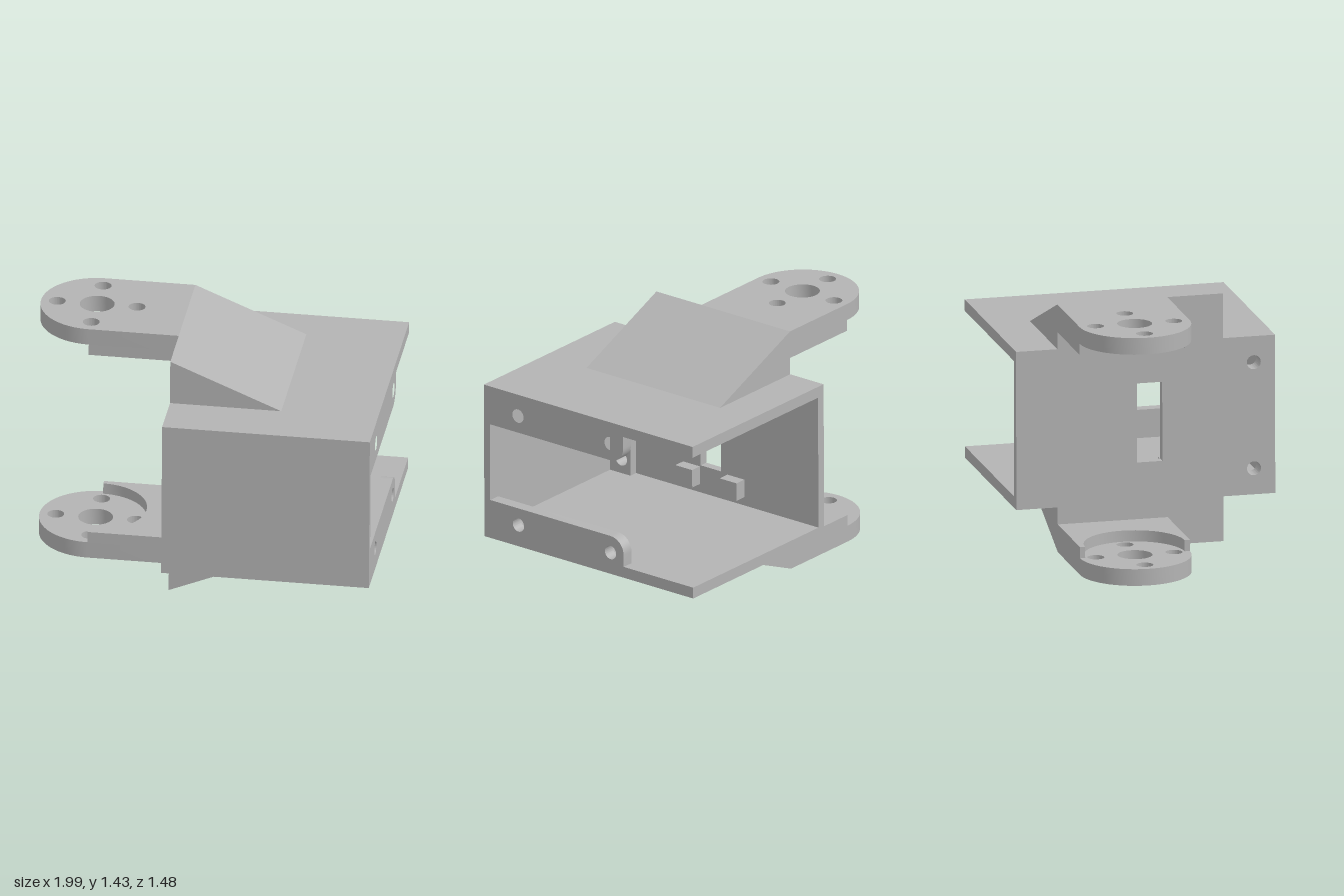
import * as THREE from 'three';
import { toCreasedNormals } from 'three/addons/utils/BufferGeometryUtils.js';

const MID = 0.7125; // mirror height of the bracket

export function createModel() {
  const model = new THREE.Group();
  const body = new THREE.Group();
  const grey = new THREE.MeshStandardMaterial({ color: 0xb3b3b3 });
  grey.name = 'grey plastic';

  const add = (name, geometry) => {
    const mesh = new THREE.Mesh(geometry, grey);
    mesh.name = name;
    body.add(mesh);
  };
  const box = (name, x0, x1, y0, y1, z0, z1) => {
    const g = new THREE.BoxGeometry(x1 - x0, y1 - y0, z1 - z0);
    add(name, g.translate((x0 + x1) / 2, (y0 + y1) / 2, (z0 + z1) / 2));
  };
  const extrude = (shape, depth) => new THREE.ExtrudeGeometry(shape, { depth, bevelEnabled: false, curveSegments: 24 });
  // Shape drawn in x, z and given height along y
  const flat = (name, shape, yA, yB) => {
    const g = extrude(shape, Math.abs(yB - yA)).rotateX(Math.PI / 2).translate(0, Math.max(yA, yB), 0);
    add(name, toCreasedNormals(g, 0.6));
  };
  // Shape drawn in z, y and given thickness along x
  const upright = (name, shape, x0, x1) => {
    const g = extrude(shape, x1 - x0).rotateY(-Math.PI / 2).translate(x1, 0, 0);
    add(name, toCreasedNormals(g, 0.6));
  };
  const poly = (pts) => new THREE.Shape(pts.map(([a, b]) => new THREE.Vector2(a, b)));
  const rect = (a0, a1, b0, b1) => poly([[a0, b0], [a1, b0], [a1, b1], [a0, b1]]);
  const hole = (shape, a, b, r) => shape.holes.push(new THREE.Path().absarc(a, b, r, 0, Math.PI * 2, true));

  // Box walls
  const wallX = -0.172, endX = 0.995;
  box('frontWall', wallX, endX, MID - 0.392, MID + 0.392, 0.70, 0.742);
  const side = rect(-0.742, 0.70, MID - 0.392, MID + 0.392);
  side.holes.push(new THREE.Path(rect(-0.05, 0.095, MID - 0.2275, MID + 0.2275).getPoints().reverse()));
  for (const s of [-1, 1]) hole(side, 0.62, MID + s * 0.305, 0.04);
  upright('slottedWall', side, wallX, wallX + 0.05);

  // Raised corner post behind the front wall
  const post = rect(0.555, 0.70, MID - 0.392, MID + 0.392);
  for (const s of [-1, 1]) hole(post, 0.62, MID + s * 0.305, 0.04);
  upright('cornerPost', post, wallX + 0.05, wallX + 0.1);

  const cx = -0.677, cz = -0.19, R = 0.315;
  for (const s of [-1, 1]) {
    const pre = s > 0 ? 'upper' : 'lower';
    const y = (d) => MID + s * d;
    const span = (a, b) => [Math.min(y(a), y(b)), Math.max(y(a), y(b))];

    box(pre + 'Plate', wallX, endX, ...span(0.39, 0.455), -0.742, 0.742);

    // Mounting flange with a rounded inner corner and two screw holes
    const pts = [[0.70, y(0.392)], [0.70, y(0.2275)]];
    for (let i = 0; i <= 10; i++) {
      const a = (i / 10) * Math.PI / 2;
      pts.push([-0.155 - 0.093 * Math.sin(a), y(0.3205 - 0.093 * Math.cos(a))]);
    }
    pts.push([-0.248, y(0.392)]);
    const flange = poly(pts);
    for (const z of [0.5, -0.155]) hole(flange, z, y(0.327), 0.04);
    upright(pre + 'Flange', flange, endX - 0.07, endX);

    // Small guide blocks beside the slot
    for (const z of [-0.155, 0.16]) {
      box(pre + 'GuideBlock', wallX + 0.05, wallX + 0.12, ...span(0.235, 0.34), z - 0.06, z + 0.06);
    }

    // Sloped gusset
    const wedge = poly([[wallX, y(0.45)], [wallX, y(0.7125)], [0.465, y(0.45)]]);
    add(pre + 'Gusset', extrude(wedge, 0.95).translate(0, 0, -0.505));

    // Round-ended arm with a hub hole and four bolt holes
    const arm = new THREE.Shape();
    arm.moveTo(wallX, cz - R);
    arm.lineTo(wallX, cz + R);
    arm.lineTo(cx, cz + R);
    arm.absarc(cx, cz, R, Math.PI / 2, Math.PI * 1.5, false);
    hole(arm, cx, cz, 0.097);
    for (let i = 0; i < 4; i++) {
      const a = i * Math.PI / 2;
      hole(arm, cx + 0.224 * Math.cos(a), cz + 0.224 * Math.sin(a), 0.047);
    }
    flat(pre + 'Arm', arm, y(0.617), y(0.7125));

    // Thicker root of the arm, hollowed by a round recess
    const root = new THREE.Shape();
    root.moveTo(wallX, cz - R);
    root.lineTo(wallX, cz + R);
    root.lineTo(cx, cz + R);
    root.lineTo(cx, cz + 0.285);
    root.absarc(cx, cz, 0.285, Math.PI / 2, -Math.PI / 2, true);
    root.lineTo(cx, cz - R);
    flat(pre + 'ArmRoot', root, y(0.553), y(0.617));
  }

  // Slight lean of the whole bracket
  body.name = 'bracket';
  body.position.y = -MID;
  const lean = new THREE.Group();
  lean.name = 'leaningBracket';
  lean.rotation.z = -0.0065;
  lean.position.y = MID + 0.002;
  lean.add(body);
  model.add(lean);
  return model;
}
